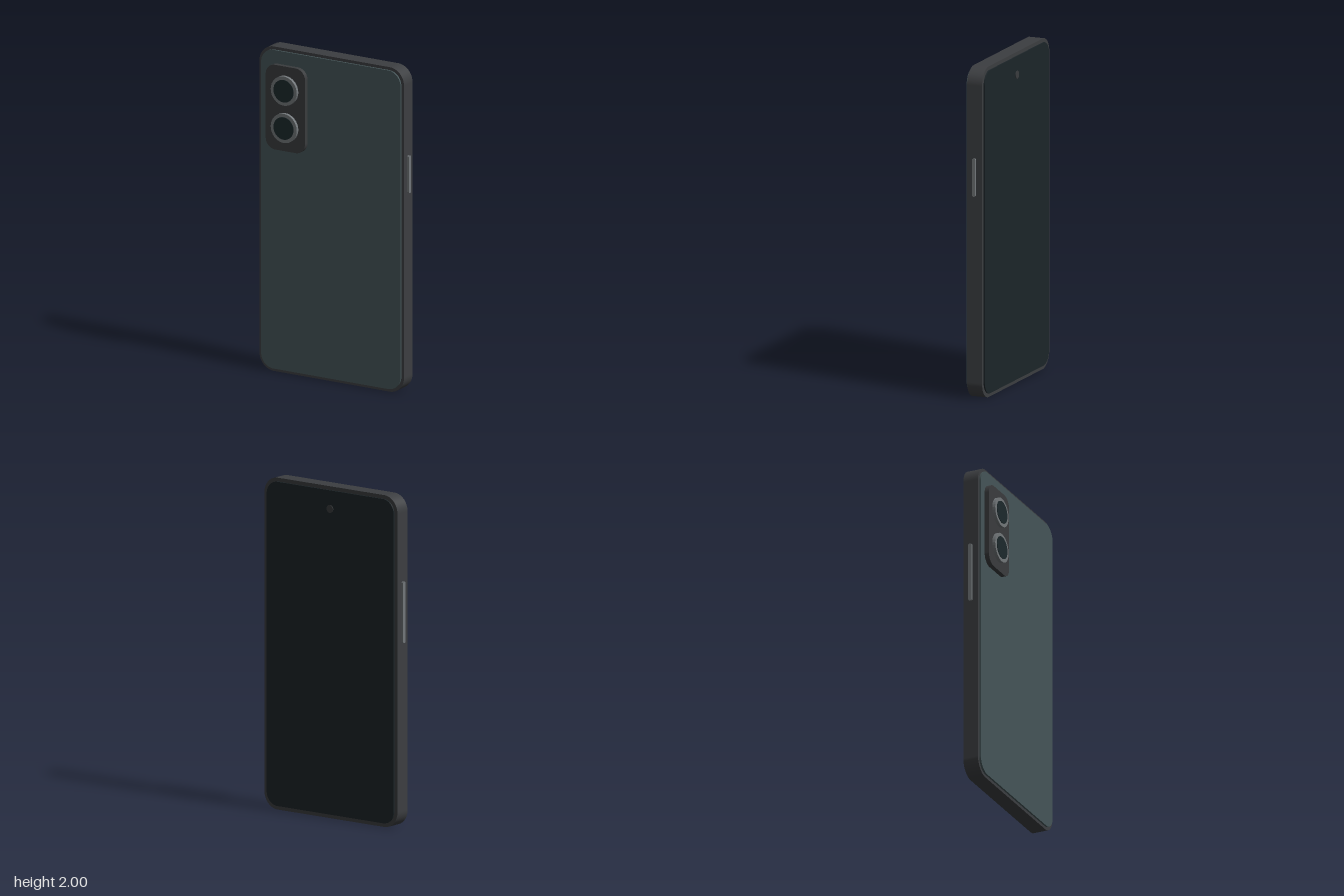
import * as THREE from 'three';

const mat = (color) => new THREE.MeshStandardMaterial({ color });
const frameMat = mat(0x3c3e41);
const panelMat = mat(0x455558);
const screenMat = mat(0x1c2529);
const bumpMat = mat(0x3a3c3e);
const metalMat = mat(0x72777a);
const glassMat = mat(0x1c292c);

// Rounded rectangle centred on the origin
function roundedRect(w, h, r) {
  const x = w / 2, y = h / 2, s = new THREE.Shape();
  s.moveTo(x, r - y);
  s.absarc(x - r, y - r, r, 0, Math.PI / 2);
  s.absarc(r - x, y - r, r, Math.PI / 2, Math.PI);
  s.absarc(r - x, r - y, r, Math.PI, Math.PI * 1.5);
  s.absarc(x - r, r - y, r, Math.PI * 1.5, Math.PI * 2);
  s.closePath();
  return s;
}

// Flat slab of a shape between two z levels
function slab(name, shape, x, y, z0, z1, material) {
  const geo = new THREE.ExtrudeGeometry(shape, { depth: z1 - z0, bevelEnabled: false, curveSegments: 16 });
  const mesh = new THREE.Mesh(geo, material);
  mesh.name = name;
  mesh.position.set(x, y, z0);
  return mesh;
}

// Disc facing along z between two z levels
function disc(name, r, x, y, z0, z1, material) {
  const geo = new THREE.CylinderGeometry(r, r, z1 - z0, 48).rotateX(Math.PI / 2);
  const mesh = new THREE.Mesh(geo, material);
  mesh.name = name;
  mesh.position.set(x, y, (z0 + z1) / 2);
  return mesh;
}

// Pill-shaped key standing out of a side edge
function sideButton(name, side, y, length) {
  const key = slab(name, roundedRect(0.021, length, 0.008), side * 0.49, y, 0, 0.023, metalMat);
  key.position.z = -0.025;
  key.rotation.y = side * Math.PI / 2;
  return key;
}

export function createModel() {
  const phone = new THREE.Group();
  phone.name = 'phone';

  // Body: side frame, camera-side panel, display
  phone.add(slab('frame', roundedRect(1, 2, 0.1), 0, 1, -0.074, 0.022, frameMat));
  phone.add(slab('rearPanel', roundedRect(0.964, 1.964, 0.085), 0, 1, 0.021, 0.033, panelMat));
  phone.add(slab('screen', roundedRect(0.954, 1.954, 0.08), 0, 1, -0.082, -0.073, screenMat));
  phone.add(disc('selfieCamera', 0.024, 0, 1.866, -0.086, -0.08, bumpMat));

  // Camera bump with two ringed lenses
  const camera = new THREE.Group();
  camera.name = 'cameraModule';
  camera.add(slab('cameraBump', roundedRect(0.272, 0.522, 0.065), -0.297, 1.641, 0.032, 0.061, bumpMat));
  for (const y of [1.756, 1.526]) {
    const ring = new THREE.Shape().absarc(0, 0, 0.09, 0, Math.PI * 2);
    ring.holes.push(new THREE.Path().absarc(0, 0, 0.068, 0, Math.PI * 2, true));
    camera.add(slab('lensRing', ring, -0.297, y, 0.06, 0.08, metalMat));
    camera.add(disc('lensGlass', 0.069, -0.297, y, 0.06, 0.083, glassMat));
  }
  phone.add(camera);

  // Side keys
  phone.add(sideButton('powerButton', 1, 1.345, 0.23));
  phone.add(sideButton('volumeButton', -1, 1.3, 0.37));
  return phone;
}
